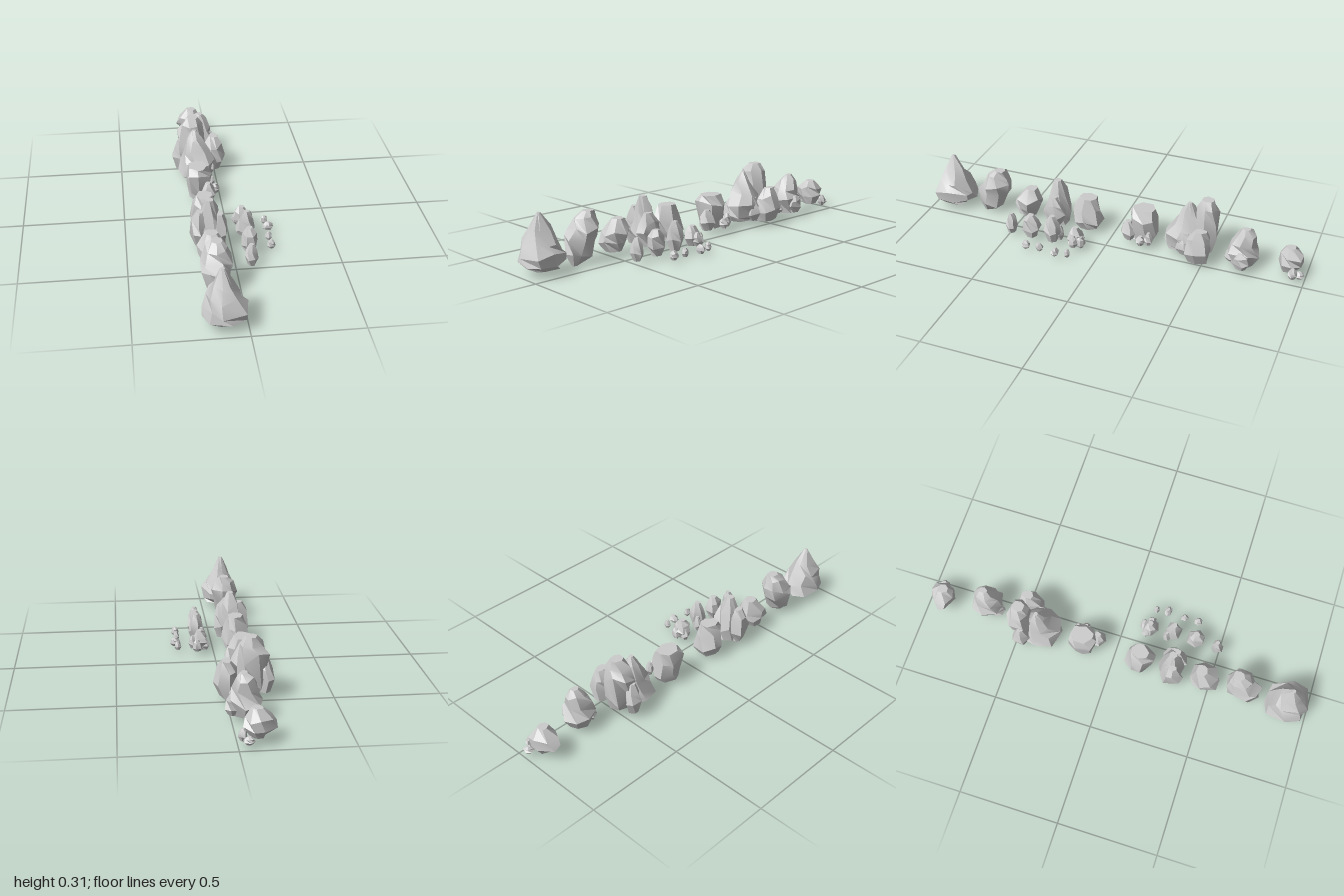
import * as THREE from 'three';
import { toCreasedNormals } from 'three/addons/utils/BufferGeometryUtils.js';

// small seeded generator
function seeded(seed) {
  let s = seed * 7919 + 17;
  return () => (s = (s * 16807) % 2147483647) / 2147483647;
}

// rock from stacked rings; each level is [y, xMin, xMax, zMin, zMax]
function rock(name, seed, levels, sides = 7) {
  const rnd = seeded(seed), pos = [], index = [];
  const unit = v => THREE.MathUtils.clamp(v, -1, 1);
  const turn = rnd() * 6;
  levels.forEach(([y, x0, x1, z0, z1], k) => {
    const end = k === 0 || k === levels.length - 1;
    const dy = end ? 0 : (levels[k + 1][0] - levels[k - 1][0]) * 0.16;
    for (let i = 0; i < sides; i++) {
      const a = turn + (i + (rnd() - 0.5) * 0.5 + k * 0.25) / sides * Math.PI * 2;
      const r = 0.92 + rnd() * 0.26;
      pos.push((x0 + x1) / 2 + (x1 - x0) / 2 * unit(Math.cos(a) * r),
        y + (rnd() - 0.5) * 2 * dy,
        (z0 + z1) / 2 + (z1 - z0) / 2 * unit(Math.sin(a) * r));
    }
  });
  const last = (levels.length - 1) * sides, c = levels.length * sides;
  for (const [y, x0, x1, z0, z1] of [levels[0], levels[levels.length - 1]])
    pos.push((x0 + x1) / 2, y, (z0 + z1) / 2);
  for (let i = 0; i < sides; i++) {
    const j = (i + 1) % sides;
    for (let k = 0; k < last; k += sides) {
      const p = k + i, q = k + j, s = q + sides, t = p + sides;
      index.push(p, t, s, p, s, q);
    }
    index.push(c, i, j, c + 1, last + j, last + i);
  }
  const geo = new THREE.BufferGeometry();
  geo.setAttribute('position', new THREE.Float32BufferAttribute(pos, 3));
  geo.setIndex(index);
  const mesh = new THREE.Mesh(toCreasedNormals(geo, 0.5),
    new THREE.MeshStandardMaterial({ color: 0xcccccc }));
  mesh.name = name;
  return mesh;
}

// rounded boulder or pebble filling a box
function pebble(name, seed, x0, x1, y0, y1, z0, z1) {
  const ring = (t, f) => {
    const cx = (x0 + x1) / 2, cz = (z0 + z1) / 2, w = (x1 - x0) / 2 * f, d = (z1 - z0) / 2 * f;
    return [y0 + (y1 - y0) * t, cx - w, cx + w, cz - d, cz + d];
  };
  return rock(name, seed, [ring(0, 0.55), ring(0.35, 1), ring(0.7, 0.8), ring(1, 0.35)], 6);
}

export function createModel() {
  const model = new THREE.Group();
  const group = (name, ...parts) => {
    const g = new THREE.Group();
    g.name = name;
    g.add(...parts);
    model.add(g);
  };

  // main row, from front to back
  model.add(
    rock('peakedBoulder', 1, [
      [0.03, -0.16, -0.03, 0.82, 0.96], [0.055, -0.2, -0.005, 0.785, 0.99],
      [0.1, -0.2, 0, 0.785, 1], [0.15, -0.18, -0.03, 0.82, 0.98],
      [0.21, -0.15, -0.06, 0.845, 0.945], [0.285, -0.12, -0.1, 0.89, 0.905]], 8),
    rock('leaningBoulder', 2, [
      [0, -0.12, -0.09, 0.69, 0.73], [0.04, -0.15, -0.06, 0.62, 0.76],
      [0.13, -0.18, -0.05, 0.585, 0.755], [0.17, -0.18, -0.03, 0.57, 0.72],
      [0.22, -0.16, -0.06, 0.58, 0.7], [0.25, -0.13, -0.08, 0.6, 0.66]]),
    rock('roundBoulder', 3, [
      [0.025, -0.15, -0.07, 0.43, 0.52], [0.07, -0.18, -0.05, 0.41, 0.55],
      [0.12, -0.18, -0.04, 0.4, 0.54], [0.18, -0.14, -0.08, 0.42, 0.48]]),
    rock('squareBoulder', 4, [
      [0.025, -0.16, -0.06, 0.08, 0.19], [0.07, -0.18, -0.04, 0.06, 0.2],
      [0.14, -0.17, -0.05, 0.07, 0.21], [0.195, -0.15, -0.07, 0.09, 0.18]]));
  group('tripleBoulder',
    rock('middleLobe', 5, [
      [0.025, -0.15, -0.05, 0.24, 0.34], [0.1, -0.16, -0.04, 0.23, 0.36],
      [0.19, -0.15, -0.06, 0.25, 0.34], [0.265, -0.12, -0.085, 0.28, 0.32]]),
    pebble('rightLobe', 6, -0.2, -0.1, 0.025, 0.21, 0.25, 0.37),
    pebble('leftLobe', 7, -0.1, -0.01, 0.025, 0.19, 0.24, 0.37));

  // boulder with pebbles round its foot
  group('blockBoulder',
    rock('block', 8, [
      [0.025, -0.16, -0.06, -0.22, -0.11], [0.07, -0.17, -0.05, -0.235, -0.1],
      [0.15, -0.18, -0.04, -0.245, -0.09], [0.195, -0.16, -0.07, -0.22, -0.11]]),
    pebble('footRock', 9, -0.11, -0.03, 0.025, 0.13, -0.14, -0.055),
    pebble('footPebble', 10, -0.05, 0, 0.03, 0.08, -0.2, -0.15),
    pebble('footPebble', 11, -0.06, -0.02, 0.03, 0.1, -0.235, -0.19));

  // large cluster
  group('cluster',
    rock('broadPeak', 12, [
      [0.03, -0.16, -0.04, -0.46, -0.3], [0.06, -0.2, -0.01, -0.5, -0.275],
      [0.11, -0.19, 0, -0.49, -0.285], [0.17, -0.17, -0.03, -0.47, -0.33],
      [0.23, -0.15, -0.07, -0.44, -0.36], [0.28, -0.12, -0.1, -0.41, -0.39]], 8),
    rock('tallPeak', 13, [
      [0.03, -0.15, -0.05, -0.53, -0.42], [0.1, -0.18, -0.04, -0.55, -0.4],
      [0.22, -0.195, -0.05, -0.545, -0.43], [0.28, -0.17, -0.06, -0.535, -0.44],
      [0.315, -0.14, -0.085, -0.52, -0.46]]),
    rock('leftLump', 14, [
      [0.025, -0.04, 0.03, -0.53, -0.42], [0.09, -0.06, 0.06, -0.545, -0.4],
      [0.15, -0.05, 0.04, -0.54, -0.42], [0.2, -0.02, 0.02, -0.52, -0.46]]),
    pebble('rightLump', 15, -0.225, -0.14, 0.03, 0.195, -0.51, -0.42),
    pebble('innerLump', 16, -0.09, 0.01, 0.03, 0.15, -0.45, -0.36));

  // rear boulders
  group('rearBoulder',
    rock('body', 17, [
      [0.025, -0.11, -0.01, -0.74, -0.63], [0.09, -0.14, 0.01, -0.775, -0.61],
      [0.15, -0.12, 0, -0.75, -0.63], [0.2, -0.1, -0.02, -0.75, -0.66],
      [0.23, -0.07, -0.04, -0.72, -0.68]]),
    pebble('sideLump', 18, -0.04, 0.03, 0.03, 0.12, -0.74, -0.65),
    pebble('frontLump', 19, -0.11, -0.03, 0.025, 0.1, -0.67, -0.6));
  group('lastBoulder',
    rock('body', 20, [
      [0.03, -0.12, -0.05, -0.95, -0.88], [0.08, -0.17, -0.02, -0.98, -0.86],
      [0.12, -0.15, -0.03, -0.98, -0.865], [0.16, -0.11, -0.06, -0.94, -0.89]]),
    pebble('sidePebble', 21, -0.04, 0, 0.025, 0.08, -0.97, -0.92),
    pebble('backPebble', 22, -0.07, -0.02, 0.02, 0.055, -1, -0.95));

  // row of medium stones, some with a chip beside them
  group('mediumStones',
    pebble('mediumStone', 23, 0.03, 0.11, 0.02, 0.12, 0.09, 0.18),
    pebble('chip', 24, 0.02, 0.07, 0.02, 0.08, 0.1, 0.15),
    pebble('chip', 25, 0.08, 0.13, 0.025, 0.09, 0.11, 0.16),
    pebble('chip', 26, 0.06, 0.11, 0.02, 0.08, 0.08, 0.12),
    pebble('mediumStone', 27, 0.04, 0.12, 0.02, 0.165, 0.21, 0.3),
    pebble('chip', 28, 0.03, 0.08, 0.02, 0.1, 0.205, 0.25),
    pebble('mediumStone', 29, 0.035, 0.12, 0.02, 0.145, 0.325, 0.42),
    pebble('mediumStone', 30, 0.04, 0.105, 0.015, 0.125, 0.455, 0.515));

  // row of small stones
  [[0.165, 0.2, 0.12, 0.15], [0.165, 0.22, 0.175, 0.215],
    [0.165, 0.2, 0.265, 0.305], [0.165, 0.205, 0.335, 0.38]].forEach(([x0, x1, z0, z1], i) =>
    model.add(pebble('smallStone', 31 + i, x0, x1, 0.017, 0.06, z0, z1)));

  return model;
}
